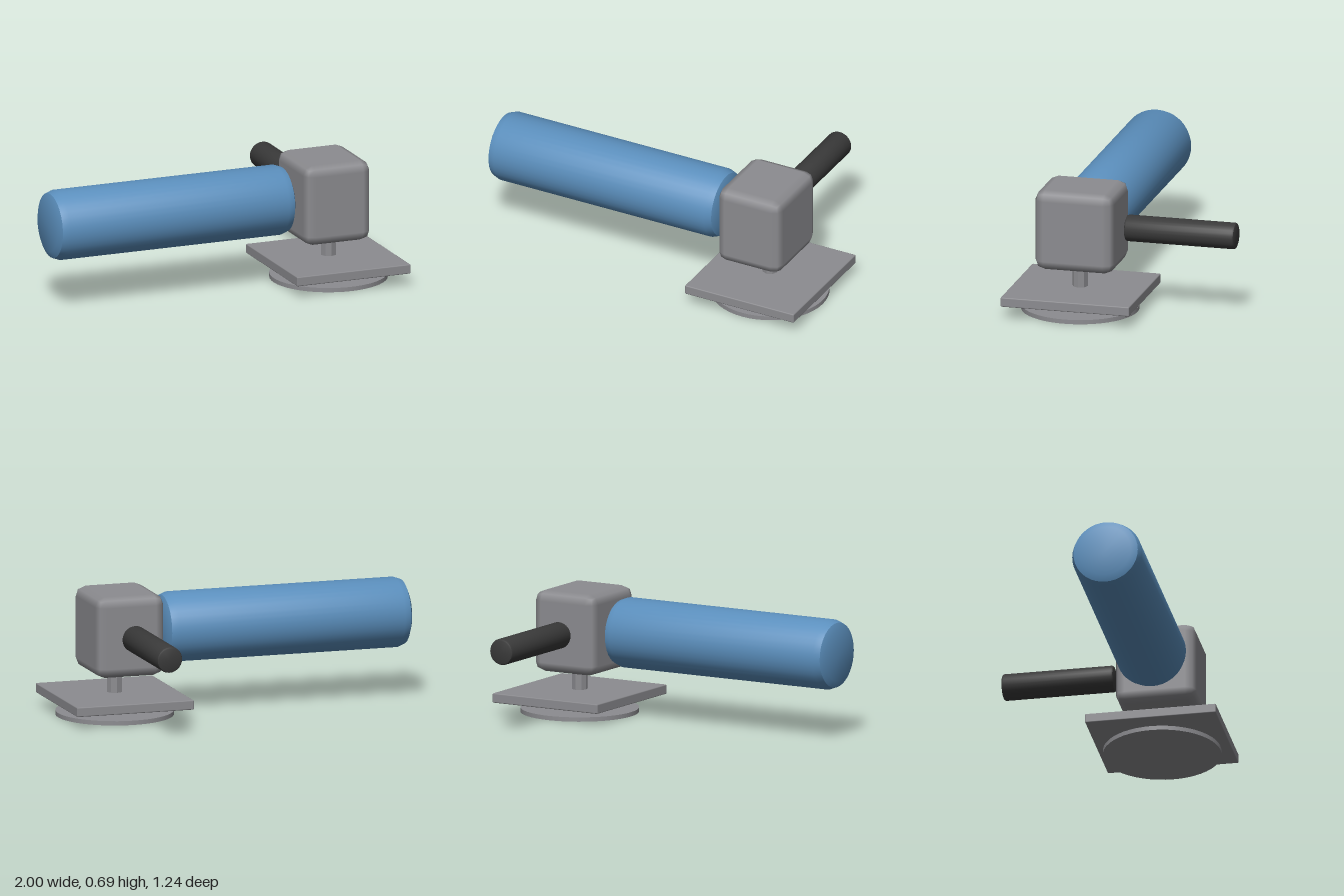
import * as THREE from 'three';
import { toCreasedNormals } from 'three/addons/utils/BufferGeometryUtils.js';
import { RoundedBoxGeometry } from 'three/addons/geometries/RoundedBoxGeometry.js';

function material(name, color) {
  const m = new THREE.MeshStandardMaterial({ color });
  m.name = name;
  return m;
}

// Closed cylinder along y with bevelled rims, centred on the origin.
function bevelledRod(radius, length, inset, depth, sides) {
  const h = length / 2;
  const half = [[0, h], [radius - inset, h], [radius - inset * 0.29, h - depth * 0.29], [radius, h - depth]];
  const points = [
    ...half.map(([r, y]) => new THREE.Vector2(r, -y)),
    ...half.reverse().map(([r, y]) => new THREE.Vector2(r, y)),
  ];
  return toCreasedNormals(new THREE.LatheGeometry(points, sides), 0.6);
}

export function createModel() {
  const model = new THREE.Group();
  model.name = 'handledStand';
  const grey = material('steelGrey', 0x8c8c90);
  const blue = material('gripBlue', 0x5b8fbd);
  const black = material('leverBlack', 0x3a3a3a);

  function add(name, geometry, mat, x, y, z) {
    const mesh = new THREE.Mesh(geometry, mat);
    mesh.name = name;
    mesh.position.set(x, y, z);
    model.add(mesh);
    return mesh;
  }

  // Base disc, square plate and stem
  add('baseDisc', new THREE.CylinderGeometry(0.324, 0.324, 0.024, 48), grey, 0.66, 0.012, 0.255);
  add('plate', new RoundedBoxGeometry(0.672, 0.053, 0.727, 1, 0.006), grey, 0.66, 0.098, 0.253);
  const stem = toCreasedNormals(new THREE.CylinderGeometry(0.043, 0.043, 0.23, 8), 0.5);
  add('stem', stem, grey, 0.66, 0.13, 0.255);

  // Bevelled block on top of the stem
  add('block', new RoundedBoxGeometry(0.39, 0.45, 0.446, 1, 0.055), grey, 0.634, 0.464, 0.254);

  // Long handle to the side
  const grip = add('handle', bevelledRod(0.193, 1.405, 0.05, 0.055, 40), blue, -0.2975, 0.467, 0.253);
  grip.rotation.z = Math.PI / 2;

  // Thin lever to the rear
  const lever = add('lever', bevelledRod(0.073, 0.62, 0.012, 0.012, 28), black, 0.63, 0.465, -0.31);
  lever.rotation.x = Math.PI / 2;

  return model;
}
